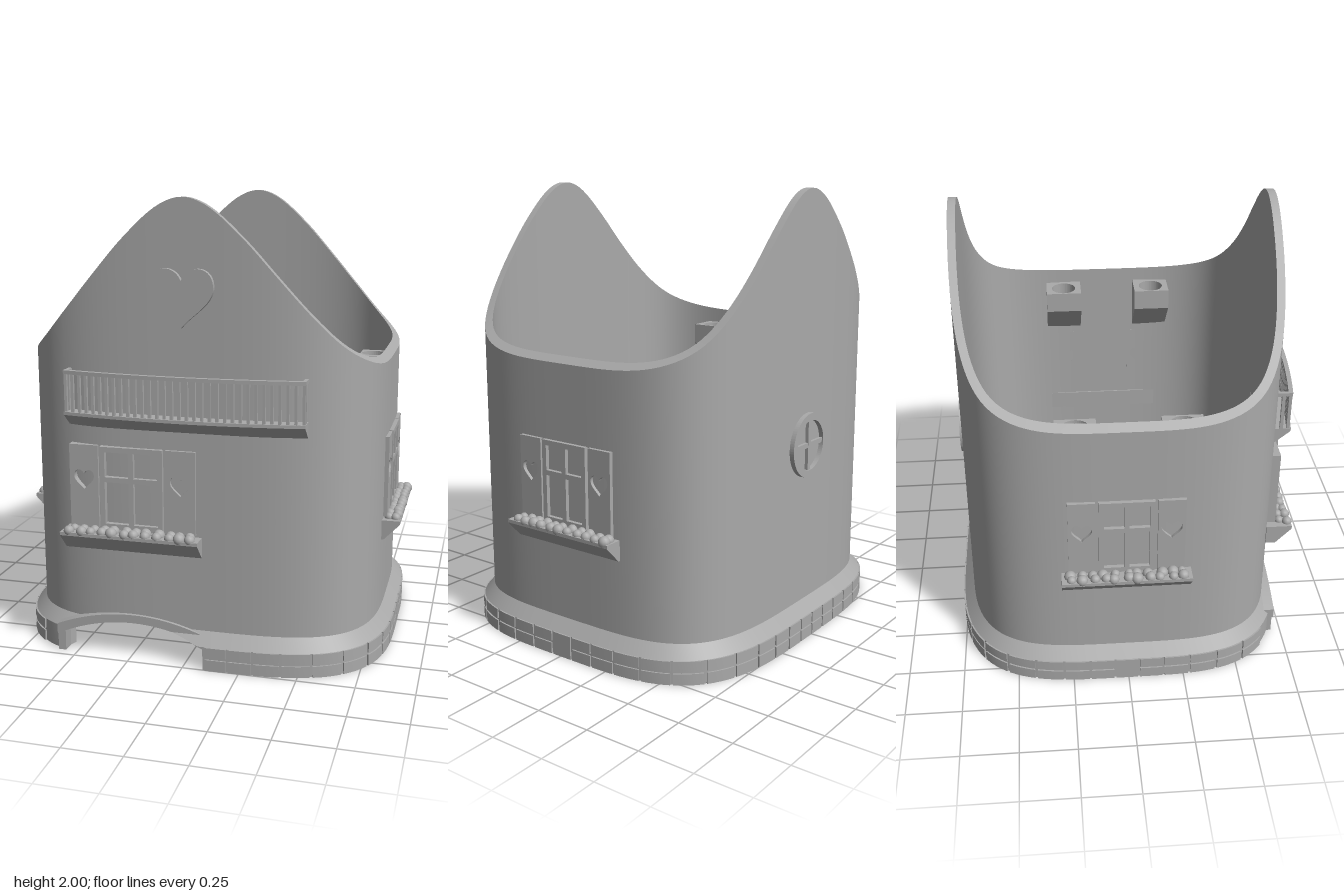
import * as THREE from 'three';
import { toCreasedNormals } from 'three/addons/utils/BufferGeometryUtils.js';

const V = (x, y, z) => new THREE.Vector3(x, y, z);
const A = 0.795, B = 0.708, N = 3.85, ZC = -0.008; // rounded-square floor plan
const DOOR = { x0: -0.555, x1: 0.09, mid: -0.235 };

// Point on the plan at angle phi, pushed outward by off
function plan(phi, off, y) {
  const c = Math.cos(phi), s = Math.sin(phi);
  const r = (Math.abs(c / A) ** N + Math.abs(s / B) ** N) ** (-1 / N);
  const nx = Math.sign(c) * Math.abs(r * c / A) ** (N - 1) / A;
  const nz = Math.sign(s) * Math.abs(r * s / B) ** (N - 1) / B;
  const l = Math.hypot(nx, nz);
  return V(r * c + off * nx / l, y, r * s + off * nz / l + ZC);
}
const frontZ = x => B * (1 - Math.abs(x / A) ** N) ** (1 / N);
const frontPhi = x => Math.atan2(frontZ(x), x);

// Skin a row of cross-section loops; convex ends are capped unless the row is closed
function loft(loops, closed = false) {
  const pos = [], m = loops[0].length, n = loops.length;
  const tri = (a, b, c) => pos.push([a, b, c]);
  for (let i = 0; i < (closed ? n : n - 1); i++) {
    const p = loops[i], q = loops[(i + 1) % n];
    for (let j = 0; j < m; j++) {
      const k = (j + 1) % m;
      tri(p[j], q[j], q[k]);
      tri(p[j], q[k], p[k]);
    }
  }
  if (!closed) for (let j = 1; j < m - 1; j++) {
    tri(loops[0][0], loops[0][j], loops[0][j + 1]);
    tri(loops[n - 1][0], loops[n - 1][j + 1], loops[n - 1][j]);
  }
  // keep faces pointing outward, whichever way the loops run
  const vol = pos.reduce((s, [a, b, c]) => s + a.dot(b.clone().cross(c)), 0);
  const flat = pos.flatMap(([a, b, c]) => (vol > 0 ? [a, b, c] : [a, c, b])).flatMap(v => [v.x, v.y, v.z]);
  const g = new THREE.BufferGeometry();
  g.setAttribute('position', new THREE.Float32BufferAttribute(flat, 3));
  return toCreasedNormals(g, 0.5);
}

function heart(cx, cy, w, h) {
  const s = new THREE.Shape(), b = cy - h / 2, t = cy + h / 2;
  s.moveTo(cx, b);
  s.bezierCurveTo(cx + w * 0.15, b + h * 0.22, cx + w / 2, b + h * 0.4, cx + w / 2, b + h * 0.7);
  s.bezierCurveTo(cx + w / 2, t + h * 0.08, cx + w * 0.1, t + h * 0.1, cx, b + h * 0.8);
  s.bezierCurveTo(cx - w * 0.1, t + h * 0.1, cx - w / 2, t + h * 0.08, cx - w / 2, b + h * 0.7);
  s.bezierCurveTo(cx - w / 2, b + h * 0.4, cx - w * 0.15, b + h * 0.22, cx, b);
  return s;
}
function rect(x0, x1, y0, y1) {
  return new THREE.Shape([[x0, y0], [x1, y0], [x1, y1], [x0, y1]].map(p => new THREE.Vector2(...p)));
}
function extrude(shape, depth, z0 = 0) {
  return new THREE.ExtrudeGeometry(shape, { depth, bevelEnabled: false, curveSegments: 20 }).translate(0, 0, z0);
}
// Prism along x with its section given as [z, y] points
function prism(points, width) {
  const s = new THREE.Shape(points.map(p => new THREE.Vector2(...p)));
  return extrude(s, width, -width / 2).rotateY(-Math.PI / 2);
}
function boxGeo(x0, x1, y0, y1, z0, z1) {
  return new THREE.BoxGeometry(x1 - x0, y1 - y0, z1 - z0).translate((x0 + x1) / 2, (y0 + y1) / 2, (z0 + z1) / 2);
}

export function createModel() {
  const root = new THREE.Group();
  root.name = 'house';
  const grey = new THREE.MeshStandardMaterial({ color: 0xaaaaaa });
  grey.name = 'grey';
  const add = (name, geo, parent = root) => {
    const m = new THREE.Mesh(geo, grey);
    m.name = name;
    parent.add(m);
    return m;
  };

  // Wall and plinth: one ring with a gabled top and an arched door cut
  const gable = new THREE.CubicInterpolant(
    [-0.1, 0, 0.1, 0.25, 0.4, 0.52, 0.65, 0.8], [1.968, 2, 1.968, 1.84, 1.675, 1.54, 1.405, 1.287], 1);
  const topY = x => gable.evaluate(Math.abs(x))[0];
  const archY = x => 0.165 - 0.68 * (x - DOOR.mid) ** 2;
  const doorA = frontPhi(DOOR.x1), doorB = frontPhi(DOOR.x0);
  const cols = [{ phi: doorA, cut: false }, { phi: doorA, cut: true }, { phi: doorB, cut: true }, { phi: doorB, cut: false }];
  for (let i = 0; i < 192; i++) {
    const phi = i / 192 * Math.PI * 2;
    cols.push({ phi, cut: phi > doorA && phi < doorB });
  }
  const order = c => c.phi + (c.phi === doorA ? (c.cut ? 1e-7 : 0) : c.phi === doorB ? (c.cut ? 0 : 1e-7) : 0);
  cols.sort((a, b) => order(a) - order(b));
  const plinthOff = y => 0.047 * Math.min(1, Math.max(0, (0.16 - y) / 0.055));
  add('wall', loft(cols.map(({ phi, cut }) => {
    const o = plan(phi, 0, 0), i = plan(phi, -0.035, 0);
    const b = cut ? archY(o.x) : 0;
    const y1 = Math.max(b, 0.105), y2 = Math.max(b, 0.16);
    i.y = topY(i.x);
    o.y = topY(o.x);
    return [plan(phi, -0.035, b), plan(phi, plinthOff(b), b), plan(phi, plinthOff(y1), y1), plan(phi, 0, y2), o, i];
  }), true));

  // Plinth stones in two courses, with tall stones at the middle of each side
  const stones = new THREE.Group();
  stones.name = 'plinthStones';
  root.add(stones);
  const count = 46;
  for (let i = 0; i < count; i++) {
    const f0 = (i - 0.5) / count * Math.PI * 2 + 0.006, f1 = (i + 0.5) / count * Math.PI * 2 - 0.006;
    if (f1 > doorA - 0.01 && f0 < doorB + 0.03) continue;
    const courses = i === 0 || i === count / 2 ? [[0, 0.105]] : [[0, 0.05], [0.059, 0.105]];
    for (const [y0, y1] of courses) {
      const loops = [0, 1, 2, 3, 4].map(k => {
        const f = f0 + (f1 - f0) * k / 4;
        return [plan(f, 0.04, y0), plan(f, 0.054, y0), plan(f, 0.054, y1), plan(f, 0.04, y1)];
      });
      add('stone', loft(loops), stones);
    }
  }

  // Door lintel and jamb
  const lintel = [], steps = 24;
  for (let i = 0; i <= steps; i++) {
    const x = -0.59 + 0.67 * i / steps, d = (x - DOOR.mid) ** 2;
    const lo = 0.165 - 0.68 * d, hi = 0.202 - 0.6 * d;
    lintel.push([V(x, lo, 0.66), V(x, lo, 0.714), V(x, hi, 0.714), V(x, hi, 0.66)]);
  }
  add('doorLintel', loft(lintel));
  add('doorJamb', boxGeo(-0.59, -0.555, 0, 0.1, 0.64, 0.706));

  // Shuttered windows with flower boxes; z points out of the wall
  let seed = 7;
  const rnd = () => (seed = (seed * 16807) % 2147483647) / 2147483647;
  const ball = new THREE.SphereGeometry(1, 12, 8);
  function shutterWindow(name, w, sw, boxW, leftSink) {
    const g = new THREE.Group();
    g.name = name;
    const frame = rect(-w / 2, w / 2, 0.59, 0.955), h = w / 2 - 0.022;
    for (const s of [-1, 1]) for (const [y0, y1] of [[0.615, 0.8], [0.822, 0.932]]) {
      frame.holes.push(rect(Math.min(s * 0.011, s * h), Math.max(s * 0.011, s * h), y0, y1));
    }
    add('windowFrame', extrude(frame, 0.05, -0.03), g);
    for (const s of [-1, 1]) {
      const c = s * (w / 2 + 0.013 + sw / 2);
      const sh = rect(c - sw / 2, c + sw / 2, 0.59, 0.955);
      sh.holes.push(heart(c, 0.8, 0.09, 0.085));
      add('shutter', extrude(sh, 0.05, s < 0 ? -0.034 - leftSink : -0.034), g);
    }
    add('flowerBox', prism([[-0.04, 0.49], [0.005, 0.49], [0.077, 0.565], [0.077, 0.58], [-0.04, 0.58]], boxW), g);
    const n = Math.round(boxW / 0.05);
    for (let row = 0; row < 2; row++) for (let i = 0; i < n; i++) {
      const f = add('flower', ball, g);
      f.scale.setScalar(0.02 + 0.007 * rnd());
      f.position.set((i + 0.5 + (rnd() - 0.5) * 0.4) / n * (boxW - 0.03) - (boxW - 0.03) / 2, 0.583, 0.022 + row * 0.03 + rnd() * 0.008);
    }
    root.add(g);
    return g;
  }
  shutterWindow('frontWindow', 0.28, 0.13, 0.615, 0.013).position.set(-0.23, 0, 0.698);
  for (const s of [-1, 1]) {
    const g = shutterWindow(s > 0 ? 'leftWindow' : 'rightWindow', 0.24, 0.118, 0.565, 0);
    g.position.set(s * 0.793, 0, -0.01);
    g.rotation.y = s * Math.PI / 2;
  }

  // Bowed balcony with a slanted underside, a rail and bars
  const balcony = new THREE.Group();
  balcony.name = 'balcony';
  root.add(balcony);
  const bow = x => 0.77 - 0.16 * x * x;
  const sweep = section => loft(Array.from({ length: 25 }, (_, i) => {
    const x = -0.52 + 1.04 * i / 24;
    return section(x, bow(x), frontZ(x) + ZC - 0.02).map(([z, y]) => V(x, y, z));
  }));
  add('balconyFloor', sweep((x, z, w) => [[w, 1.035], [w + 0.025, 1.035], [z + 0.004, 1.088], [z + 0.004, 1.102], [w, 1.102]]), balcony);
  add('balconyRail', sweep((x, z) => [[z - 0.02, 1.264], [z, 1.264], [z, 1.28], [z - 0.02, 1.28]]), balcony);
  for (let i = 0; i <= 32; i++) {
    const x = -0.512 + 1.024 * i / 32, z = bow(x);
    add('balconyBar', boxGeo(x - 0.006, x + 0.006, 1.09, 1.27, z - 0.017, z - 0.003), balcony);
  }
  for (const s of [-1, 1]) {
    add('balconySideRail', boxGeo(s * 0.512 - 0.008, s * 0.512 + 0.008, 1.264, 1.28, 0.64, bow(0.52)), balcony);
    add('balconySideBar', boxGeo(s * 0.512 - 0.006, s * 0.512 + 0.006, 1.09, 1.27, 0.682, 0.696), balcony);
  }

  // Gable heart
  add('gableHeart', extrude(heart(0, 1.595, 0.27, 0.24), 0.034, 0.688));

  // Round back window with a cross bar
  const round = new THREE.Group();
  round.name = 'roundWindow';
  const ring = new THREE.Shape().absarc(0, 0, 0.145, 0, Math.PI * 2);
  ring.holes.push(new THREE.Path().absarc(0, 0, 0.113, 0, Math.PI * 2, true));
  add('roundFrame', new THREE.ExtrudeGeometry(ring, { depth: 0.04, bevelEnabled: false, curveSegments: 40 }), round);
  add('crossBarUpright', boxGeo(-0.011, 0.011, -0.12, 0.12, 0, 0.034), round);
  add('crossBarLevel', boxGeo(-0.12, 0.12, -0.011, 0.011, 0, 0.033), round);
  round.position.set(0, 0.887, -0.697);
  round.rotation.y = Math.PI;
  root.add(round);

  // Inner roof brackets: a socketed block on a slanted support
  for (const s of [-1, 1]) for (const z of [-0.215, 0.237]) {
    const g = new THREE.Group();
    g.name = 'roofBracket';
    const top = rect(-0.067, 0.09, -0.088, 0.088);
    top.holes.push(new THREE.Path().absarc(0, 0, 0.06, 0, Math.PI * 2, true));
    add('socket', extrude(top, 0.08).rotateX(-Math.PI / 2).translate(0, 1.17, 0), g);
    const wedge = prism([[-0.067, 1.17], [-0.067, 1.15], [0.09, 0.98], [0.09, 1.17]], 0.176).rotateY(Math.PI / 2);
    add('support', wedge, g);
    g.position.set(s * 0.68, 0, z);
    g.rotation.y = s > 0 ? 0 : Math.PI;
    root.add(g);
  }
  return root;
}
